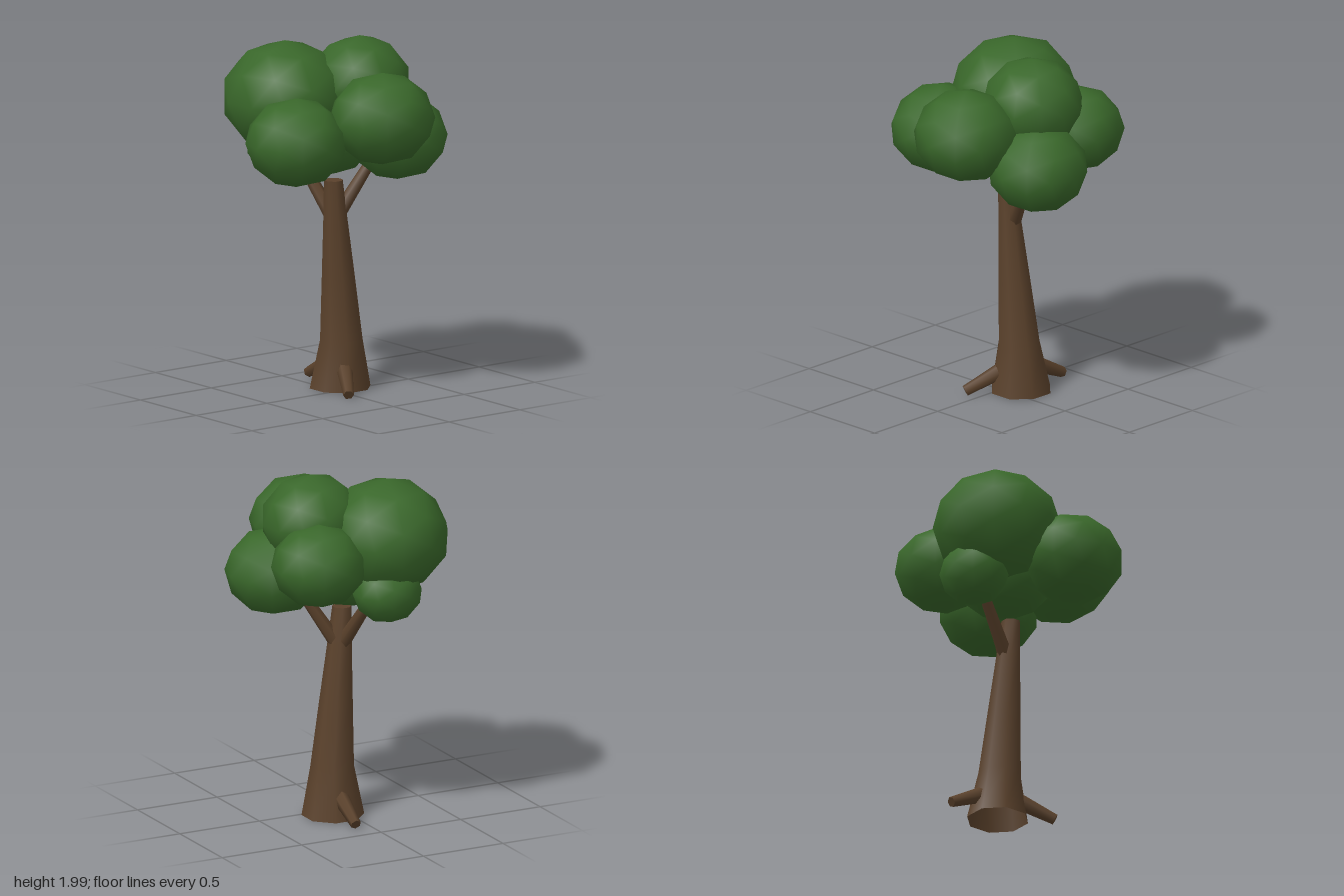
import * as THREE from 'three';
import { mergeVertices } from 'three/addons/utils/BufferGeometryUtils.js';

const bark = new THREE.MeshStandardMaterial({ color: 0x5a412b, side: THREE.DoubleSide });
bark.name = 'bark brown';
const leaf = new THREE.MeshStandardMaterial({ color: 0x39672a });
leaf.name = 'leaf green';

// Tapered limb between two points, with closed ends
function limb(name, from, to, r0, r1) {
  const a = new THREE.Vector3(...from);
  const b = new THREE.Vector3(...to);
  const dir = b.clone().sub(a);
  const mesh = new THREE.Mesh(new THREE.CylinderGeometry(r1, r0, dir.length(), 6), bark);
  mesh.name = name;
  mesh.position.copy(a).add(b).multiplyScalar(0.5);
  mesh.quaternion.setFromUnitVectors(new THREE.Vector3(0, 1, 0), dir.normalize());
  return mesh;
}

// Leaning trunk: an open tube whose rings follow [y, centre x, centre z, radius]
function makeTrunk() {
  const rings = [
    [1.205, 0.005, -0.045, 0.054],
    [1.0, 0.022, -0.05, 0.068],
    [0.65, 0.05, -0.058, 0.095],
    [0.29, 0.078, -0.067, 0.122],
    [0.012, 0.08, -0.08, 0.175],
  ];
  const sides = 8;
  const tube = new THREE.CylinderGeometry(1, 1, 1, sides, rings.length - 1, true, Math.PI / 8);
  const p = tube.attributes.position;
  for (let i = 0; i < p.count; i++) {
    const [y, cx, cz, r] = rings[Math.floor(i / (sides + 1))];
    p.setXYZ(i, cx + p.getX(i) * r, y, cz + p.getZ(i) * r);
  }
  // Weld the seam so the bark shades smoothly all round
  tube.deleteAttribute('uv');
  tube.deleteAttribute('normal');
  const geo = mergeVertices(tube);
  geo.computeVertexNormals();
  const trunk = new THREE.Mesh(geo, bark);
  trunk.name = 'trunk';

  const [y, cx, cz, r] = rings[0];
  const cap = new THREE.Mesh(new THREE.CircleGeometry(r, sides, Math.PI / 8), bark);
  cap.name = 'trunkTop';
  cap.rotation.x = -Math.PI / 2;
  cap.position.set(cx, y, cz);
  return [trunk, cap];
}

export function createModel() {
  const tree = new THREE.Group();
  tree.name = 'tree';

  const wood = new THREE.Group();
  wood.name = 'wood';
  wood.add(
    ...makeTrunk(),
    limb('frontRoot', [0.025, 0.135, 0.03], [-0.08, 0.035, 0.2], 0.045, 0.03),
    limb('backRoot', [0.085, 0.145, -0.17], [0.1, 0.04, -0.39], 0.048, 0.03),
    limb('rightBranch', [0.045, 1.0, -0.055], [0.25, 1.34, 0.03], 0.042, 0.028),
    limb('backBranch', [0.015, 1.0, -0.075], [-0.06, 1.34, -0.31], 0.042, 0.028),
  );
  tree.add(wood);

  // Leaf clusters: name, centre, radii, turn about y
  const clusters = [
    ['bigBackCluster', [-0.16, 1.658, -0.268], [0.346, 0.325, 0.368], 0.32],
    ['topCluster', [0.197, 1.732, -0.053], [0.288, 0.268, 0.284], 0.4],
    ['frontCluster', [0.055, 1.612, 0.33], [0.298, 0.26, 0.294], 0],
    ['leftSideCluster', [-0.367, 1.492, 0.095], [0.28, 0.252, 0.295], 0],
    ['rightSideCluster', [0.363, 1.43, 0.075], [0.279, 0.248, 0.285], 0],
    ['backRightCluster', [0.288, 1.553, -0.305], [0.268, 0.238, 0.27], 0.2],
    ['lowBackCluster', [-0.1, 1.367, -0.383], [0.198, 0.178, 0.192], 0.3],
    ['innerCluster', [-0.01, 1.46, -0.1], [0.29, 0.235, 0.28], 0.25],
  ];
  const crown = new THREE.Group();
  crown.name = 'crown';
  for (const [name, centre, radii, turn] of clusters) {
    const ball = new THREE.IcosahedronGeometry(1, 1).rotateY(turn);
    const mesh = new THREE.Mesh(ball, leaf);
    mesh.name = name;
    mesh.scale.set(...radii);
    mesh.position.set(...centre);
    crown.add(mesh);
  }
  tree.add(crown);
  return tree;
}
